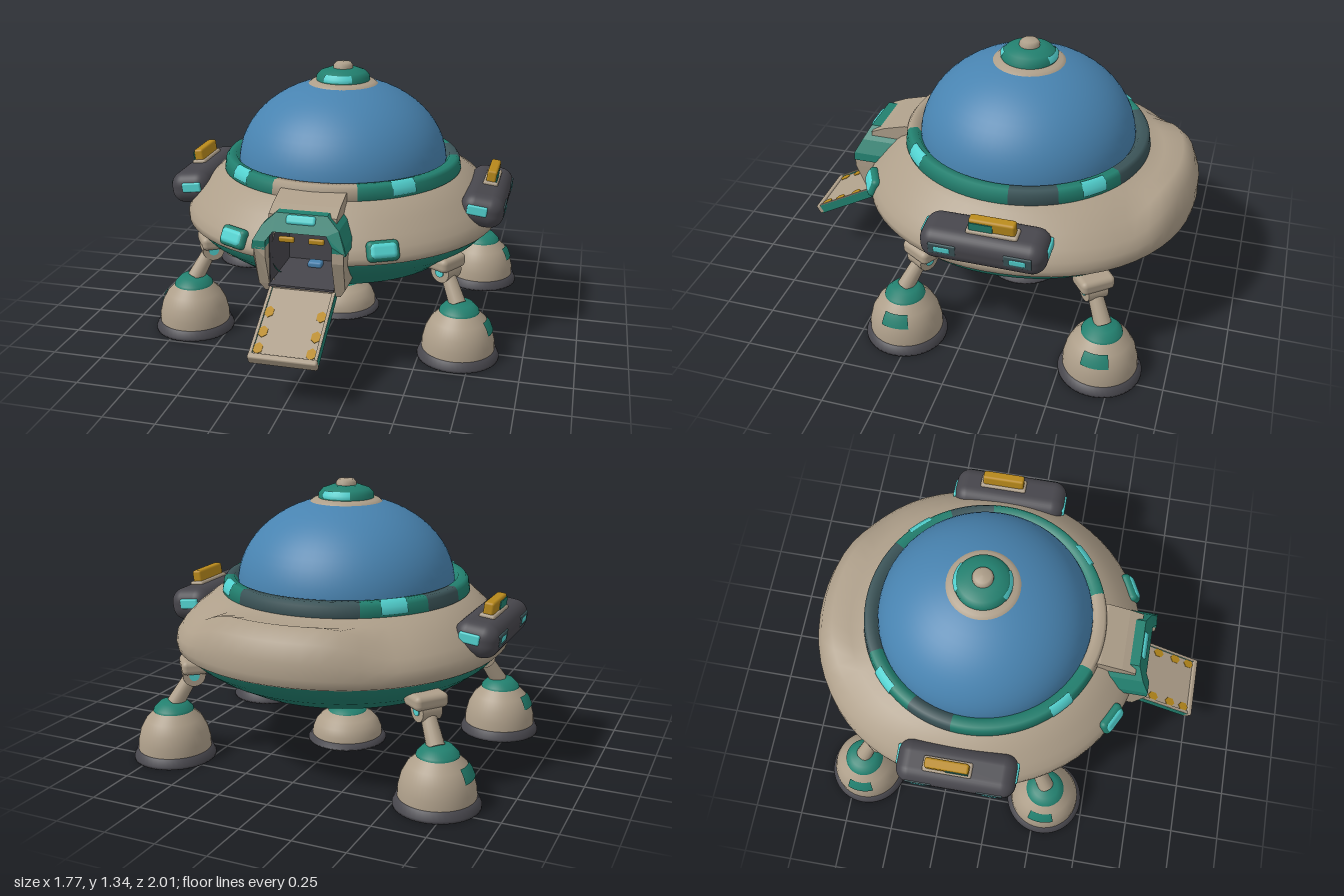
import * as THREE from 'three';
import { RoundedBoxGeometry } from 'three/addons/geometries/RoundedBoxGeometry.js';

const paint = (name, color) => {
  const m = new THREE.MeshStandardMaterial({ color });
  m.name = name;
  return m;
};
const beige = paint('beige', 0xae9f8a);
const teal = paint('teal', 0x22806f);
const cyan = paint('cyan', 0x52d2d0);
const blue = paint('dome blue', 0x4883b0);
const dark = paint('dark grey', 0x47464c);
const slate = paint('slate', 0x3c5559);
const amber = paint('amber', 0xb98a1c);

const RAD = Math.PI / 180;
const CZ = -0.14; // saucer axis

function add(parent, name, geo, mat, pos = [0, 0, 0], rot = [0, 0, 0]) {
  const m = new THREE.Mesh(geo, mat);
  m.name = name;
  m.position.set(...pos);
  m.rotation.set(...rot);
  parent.add(m);
  return m;
}
function group(parent, name, pos = [0, 0, 0]) {
  const g = new THREE.Group();
  g.name = name;
  g.position.set(...pos);
  parent.add(g);
  return g;
}
// lathe of [r, y] points, optionally only a sector centred on an angle (degrees from the front)
function lathe(pts, mid = 180, half = 180, segs = 48) {
  return new THREE.LatheGeometry(pts.map(p => new THREE.Vector2(...p)), segs, (mid - half) * RAD, 2 * half * RAD);
}
function rod(parent, name, mat, a, b, r1, r2) {
  const A = new THREE.Vector3(...a), B = new THREE.Vector3(...b), d = B.clone().sub(A);
  const m = add(parent, name, new THREE.CylinderGeometry(r2, r1, d.length(), 16), mat, A.clone().add(B).multiplyScalar(0.5).toArray());
  m.quaternion.setFromUnitVectors(new THREE.Vector3(0, 1, 0), d.normalize());
  return m;
}
// hull skin: rows [r, y, rear r, rear y], blended towards the rear, with a doorway cut in front
function hullSkin(rows) {
  const N = 64, pos = [], idx = [], ss = THREE.MathUtils.smoothstep, mix = THREE.MathUtils.lerp;
  rows.forEach(([r, y, rb = r, yb = y], j) => {
    for (let i = 0; i < N; i++) {
      const a = i / N * Math.PI * 2, back = -Math.cos(a);
      const R = mix(r, rb, ss(back, 0, 0.95)), Y = mix(y, yb, ss(back, 0.78, 0.97));
      pos.push(R * Math.sin(a), Y, R * Math.cos(a));
      if (j === rows.length - 1) continue;
      const door = (i < 2 || i >= N - 2) && y >= 0.435 && rows[j + 1][1] <= 0.735;
      if (door) continue;
      const p = j * N + i, q = j * N + (i + 1) % N;
      idx.push(p, q, q + N, p, q + N, p + N);
    }
  });
  const g = new THREE.BufferGeometry();
  g.setAttribute('position', new THREE.Float32BufferAttribute(pos, 3));
  g.setIndex(idx);
  g.computeVertexNormals();
  return g;
}
// doorway piece: extruded outline whose front face leans with height
function doorPiece(pts) {
  const g = new THREE.ExtrudeGeometry(new THREE.Shape(pts.map(p => new THREE.Vector2(...p))), { depth: 0.25, bevelEnabled: false });
  const p = g.attributes.position;
  for (let i = 0; i < p.count; i++) {
    const y = p.getY(i);
    const front = y < 0.6 ? 0.65 + (y - 0.41) * 0.37 : y < 0.68 ? 0.72 : 0.72 - (y - 0.68) * 0.55;
    p.setZ(i, p.getZ(i) > 0.1 ? front : 0.46);
  }
  g.computeVertexNormals();
  return g;
}
const mirrorX = pts => [...pts, ...pts.map(([x, y]) => [-x, y]).reverse()];

function buildSaucer(root) {
  const s = group(root, 'saucer', [0, 0, CZ]);
  add(s, 'belly', hullSkin([[0, 0.28], [0.2, 0.285], [0.4, 0.315], [0.5, 0.345], [0.56, 0.375]]), beige);
  add(s, 'lowerHull', hullSkin([[0.54, 0.365], [0.57, 0.37], [0.67, 0.44, 0.7, 0.44], [0.735, 0.49, 0.77, 0.49],
    [0.79, 0.55, 0.835, 0.55], [0.77, 0.565, 0.82, 0.565]]), teal);
  add(s, 'upperHull', hullSkin([[0.78, 0.552, 0.84, 0.552], [0.803, 0.56, 0.855, 0.56], [0.803, 0.59, 0.862, 0.6], [0.785, 0.63, 0.86, 0.67],
    [0.75, 0.675, 0.83, 0.75], [0.70, 0.73, 0.77, 0.81], [0.64, 0.785, 0.68, 0.785], [0.58, 0.815]]), beige);

  // collar ring in coloured arcs
  const ring = [[0.585, 0.79], [0.61, 0.805], [0.602, 0.855], [0.588, 0.873], [0.55, 0.873], [0.52, 0.83]];
  const arcs = [[0, 20, beige], [58, 38, teal], [-58, 38, teal], [107, 11, slate], [-107, 11, slate],
    [134, 16, teal], [-134, 16, teal], [180, 30, slate]];
  for (const [mid, half, mat] of arcs) add(s, 'collarArc', lathe(ring, mid, half, 20), mat);
  const lamp = [[0.608, 0.815], [0.616, 0.822], [0.61, 0.85], [0.592, 0.878], [0.575, 0.88]];
  for (const a of [42, -42, 135, -135]) add(s, 'collarLight', lathe(lamp, a, 6, 6), cyan);

  // dome and cap
  const arc = [];
  for (let i = 0; i <= 16; i++) arc.push([0.535 * Math.cos(i / 16 * Math.PI / 2), 0.83 + 0.425 * Math.sin(i / 16 * Math.PI / 2)]);
  add(s, 'dome', lathe(arc, 180, 180, 64), blue);
  add(s, 'capPlate', lathe([[0.19, 1.2], [0.187, 1.222], [0.16, 1.243], [0.1, 1.255], [0, 1.255]]), beige);
  add(s, 'cap', lathe([[0.135, 1.24], [0.135, 1.27], [0.115, 1.292], [0.07, 1.308], [0, 1.31]]), teal);
  add(s, 'capKnob', lathe([[0.05, 1.3], [0.05, 1.322], [0.038, 1.337], [0, 1.34]], 180, 180, 20), beige);
  for (const a of [0, 180]) add(s, 'capLight', lathe([[0.139, 1.255], [0.14, 1.271], [0.124, 1.289]], a, 32, 10), cyan);

  // hull lamps beside the door
  for (const side of [1, -1]) {
    const g = group(s, 'hullLamp', [0.357 * side, 0.622, 0.703]);
    g.rotation.set(-24 * RAD, 27 * side * RAD, 0, 'YXZ');
    add(g, 'lampRim', new RoundedBoxGeometry(0.155, 0.098, 0.05, 3, 0.024), teal);
    add(g, 'lampGlass', new RoundedBoxGeometry(0.135, 0.078, 0.05, 3, 0.024), cyan, [0, 0, 0.007]);
  }
}

function buildDoor(root) {
  const d = group(root, 'doorway');
  add(d, 'doorFrame', doorPiece(mirrorX([[0.21, 0.65], [0.21, 0.6], [0.205, 0.45], [0.18, 0.41]]).concat(
    [[-0.155, 0.65], [-0.155, 0.6], [-0.155, 0.45], [0.155, 0.45], [0.155, 0.6], [0.155, 0.65]])), beige);
  add(d, 'doorArch', doorPiece(mirrorX([[0.22, 0.64], [0.215, 0.68], [0.18, 0.745], [0.12, 0.8]]).concat(
    [[-0.155, 0.64], [-0.155, 0.68], [-0.125, 0.72], [0.125, 0.72], [0.155, 0.68], [0.155, 0.64]])), teal);
  add(d, 'archLight', new RoundedBoxGeometry(0.14, 0.045, 0.03, 3, 0.014), cyan, [0, 0.773, 0.662], [-0.5, 0, 0]);

  // hood sloping from the collar to the arch
  const hood = new THREE.ExtrudeGeometry(new THREE.Shape([[0.4, 0.74], [0.64, 0.74], [0.64, 0.785], [0.57, 0.815], [0.46, 0.845], [0.4, 0.845]]
    .map(p => new THREE.Vector2(...p))), { depth: 0.32, bevelEnabled: false });
  add(d, 'hood', hood, beige, [0.16, 0, 0], [0, -Math.PI / 2, 0]).position.x = 0.16;

  // inner chamber
  const plates = [[0.31, 0.29, 0.01, 0, 0.585, 0.34], [0.31, 0.01, 0.34, 0, 0.448, 0.51], [0.31, 0.01, 0.32, 0, 0.727, 0.5],
    [0.01, 0.29, 0.32, 0.157, 0.585, 0.5], [0.01, 0.29, 0.32, -0.157, 0.585, 0.5]];
  for (const [w, h, l, ...p] of plates) add(d, 'chamberWall', new THREE.BoxGeometry(w, h, l), dark, p);
  add(d, 'console', new RoundedBoxGeometry(0.07, 0.03, 0.05, 2, 0.01), blue, [0, 0.465, 0.42]);
  for (const x of [-0.07, 0.07]) add(d, 'doorLamp', new RoundedBoxGeometry(0.075, 0.028, 0.02, 2, 0.009), amber, [x, 0.675, 0.66]);

  // ramp
  const r = group(root, 'ramp', [0, 0.332, 0.795]);
  r.rotation.x = 29 * RAD;
  add(r, 'rampDeck', new THREE.BoxGeometry(0.29, 0.03, 0.43), beige);
  for (const x of [-0.15, 0.15]) {
    add(r, 'rampRail', new THREE.BoxGeometry(0.016, 0.046, 0.43), teal, [x, -0.003, 0]);
    add(r, 'rampRailTop', new THREE.BoxGeometry(0.014, 0.004, 0.43), beige, [x, 0.021, 0]);
    for (const z of [-0.03, 0.08, 0.17])
      add(r, 'rampMark', new THREE.CylinderGeometry(0.024, 0.024, 0.006, 6), amber, [x * 0.82, 0.015, z]).scale.z = 1.3;
  }
  add(r, 'rampLip', new RoundedBoxGeometry(0.32, 0.052, 0.03, 2, 0.01), beige, [0, 0, 0.213]);
  for (let i = 0; i < 5; i++) add(r, 'rampRib', new THREE.BoxGeometry(0.27, 0.012, 0.012), beige, [0, -0.016, -0.14 + i * 0.07]);
}

function buildPod(root, side) {
  const p = group(root, side > 0 ? 'leftPod' : 'rightPod', [0.752 * side, 0.688, -0.145]);
  p.scale.x = 1;
  p.rotation.z = -0.12 * side;
  add(p, 'podBody', new RoundedBoxGeometry(0.215, 0.165, 0.59, 5, 0.07), dark);
  for (const e of [1, -1]) {
    add(p, 'podEndLight', new RoundedBoxGeometry(0.1, 0.05, 0.02, 3, 0.009), cyan, [-0.02 * side, 0.012, 0.29 * e]);
    add(p, 'podSideLight', new RoundedBoxGeometry(0.02, 0.035, 0.08, 3, 0.009), cyan, [0.102 * side, 0.01, 0.175 * e]);
    add(p, 'podSideRim', new RoundedBoxGeometry(0.014, 0.06, 0.13, 3, 0.006), slate, [0.102 * side, 0.01, 0.175 * e]);
  }
  // fin on top
  add(p, 'finBase', new RoundedBoxGeometry(0.075, 0.03, 0.24, 2, 0.01), beige, [0.01 * side, 0.082, -0.04]);
  add(p, 'fin', new RoundedBoxGeometry(0.05, 0.08, 0.215, 2, 0.012), amber, [0.01 * side, 0.112, -0.04]);
  add(p, 'finPanel', new THREE.BoxGeometry(0.006, 0.055, 0.11), teal, [0.036 * side, 0.11, 0.01]);
}

function buildFoot(parent, pos, h) {
  const f = group(parent, 'foot', pos);
  f.scale.y = h;
  add(f, 'footPad', lathe([[0, 0], [0.2, 0], [0.2, 0.012], [0.185, 0.045], [0.16, 0.05]]), dark);
  add(f, 'footBell', lathe([[0.178, 0.042], [0.176, 0.09], [0.162, 0.145], [0.135, 0.195], [0.085, 0.243]]), beige);
  add(f, 'footCollar', lathe([[0.098, 0.236], [0.095, 0.247], [0.065, 0.278], [0, 0.284]]), teal);
  return f;
}

function buildLeg(root, side, footZ, kneeZ) {
  const leg = group(root, footZ > 0 ? 'frontLeg' : 'rearLeg');
  const foot = buildFoot(leg, [0.685 * side, 0, footZ], 1);
  add(foot, 'footPatch', lathe([[0.167, 0.145], [0.154, 0.178], [0.134, 0.207]], 90 * side, 24, 8), teal);
  const knee = [0.605 * side, 0.415, kneeZ];
  rod(leg, 'shin', beige, [0.675 * side, 0.27, footZ], knee, 0.042, 0.034);
  // hinge facing along the hull edge
  const hinge = group(leg, 'hinge', knee);
  hinge.rotation.y = Math.atan2(knee[0], kneeZ - CZ) - Math.PI / 2 * side;
  add(hinge, 'kneeBarrel', new THREE.CylinderGeometry(0.055, 0.055, 0.1, 20), beige, [0, 0, 0], [Math.PI / 2, 0, 0]);
  add(hinge, 'kneeBolt', new THREE.CylinderGeometry(0.025, 0.025, 0.112, 16), cyan, [0, 0, 0], [Math.PI / 2, 0, 0]);
  add(hinge, 'hullBracket', new RoundedBoxGeometry(0.13, 0.07, 0.17, 3, 0.025), beige, [-0.005 * side, 0.045, 0]);
}

export function createModel() {
  const root = new THREE.Group();
  root.name = 'saucerShip';
  buildSaucer(root);
  buildDoor(root);
  for (const side of [1, -1]) {
    buildPod(root, side);
    buildLeg(root, side, 0.29, 0.22);
    buildLeg(root, side, -0.685, -0.62);
  }
  // central leg
  const mid = group(root, 'centreLeg');
  buildFoot(mid, [0, 0, -0.135], 0.63);
  rod(mid, 'column', dark, [0, 0.16, -0.135], [0, 0.3, -0.135], 0.055, 0.055);
  return root;
}
